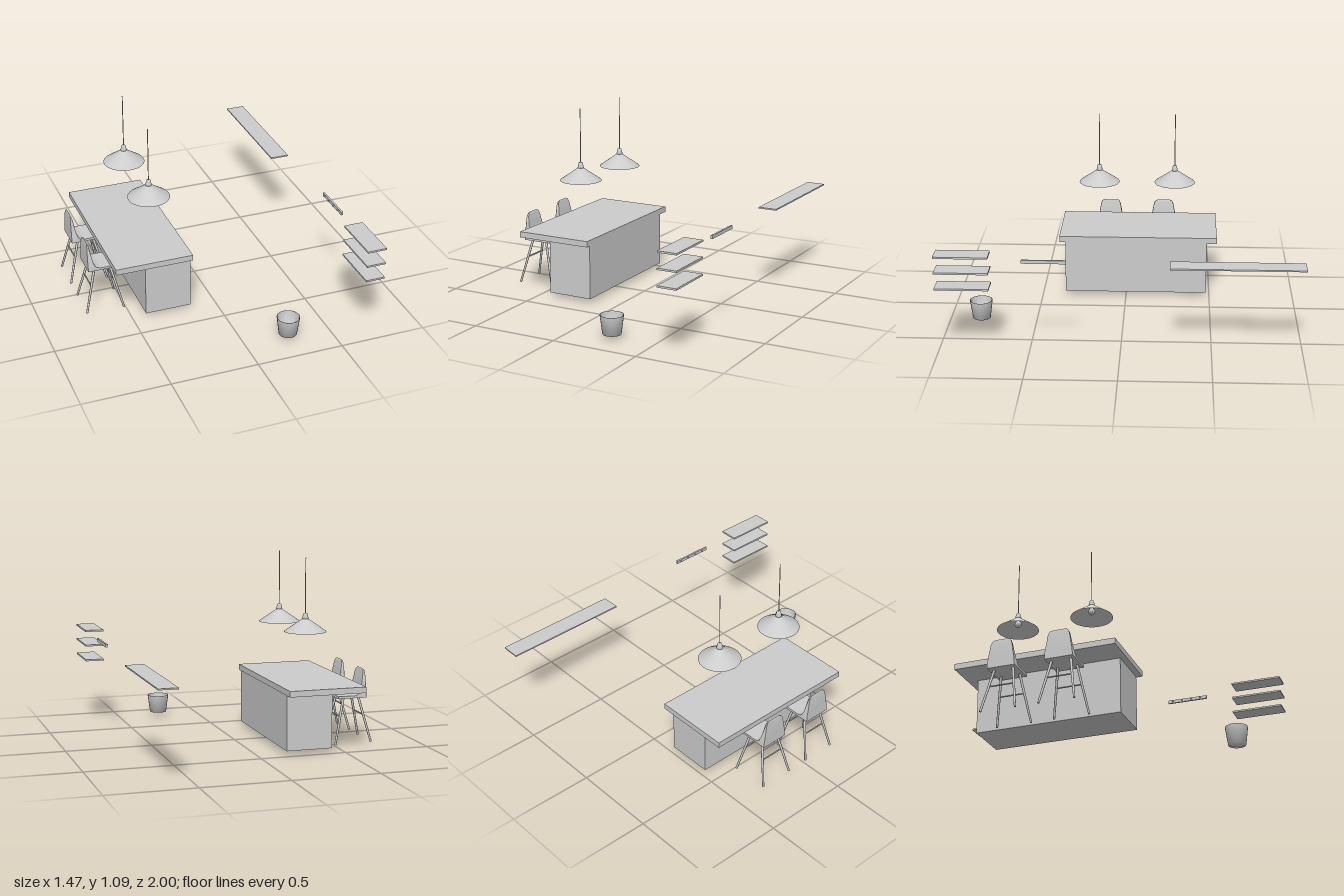
import * as THREE from 'three';

const mat = new THREE.MeshStandardMaterial({ color: 0xcccccc });
const flat = new THREE.MeshStandardMaterial({ color: 0xcccccc, flatShading: true });
const open = new THREE.MeshStandardMaterial({ color: 0xcccccc, side: THREE.DoubleSide });

function add(parent, name, geometry, material = mat) {
  const mesh = new THREE.Mesh(geometry, material);
  mesh.name = name;
  parent.add(mesh);
  return mesh;
}

// box given by its lower and upper corners
function box(parent, name, [x0, y0, z0], [x1, y1, z1]) {
  const m = add(parent, name, new THREE.BoxGeometry(x1 - x0, y1 - y0, z1 - z0));
  m.position.set((x0 + x1) / 2, (y0 + y1) / 2, (z0 + z1) / 2);
  return m;
}

// round bar between two points
function bar(parent, name, a, b, r0, r1 = r0) {
  const p = new THREE.Vector3(...a), q = new THREE.Vector3(...b);
  const d = q.clone().sub(p);
  const m = add(parent, name, new THREE.CylinderGeometry(r1, r0, d.length(), 10));
  m.position.copy(p).add(q).multiplyScalar(0.5);
  m.quaternion.setFromUnitVectors(new THREE.Vector3(0, 1, 0), d.normalize());
  return m;
}

function lathe(parent, name, pts, segments = 32) {
  return add(parent, name, new THREE.LatheGeometry(pts.map(p => new THREE.Vector2(...p)), segments), open);
}

function makeStool() {
  const g = new THREE.Group();
  g.name = 'stool';

  // seat and back: one side profile, narrowed towards the rounded top
  const profile = [
    [-0.706, 0.27], [-0.533, 0.27], [-0.533, 0.284], [-0.635, 0.284], [-0.655, 0.29], [-0.667, 0.302],
    [-0.675, 0.322], [-0.681, 0.35], [-0.686, 0.385], [-0.69, 0.405], [-0.693, 0.42], [-0.695, 0.428],
    [-0.699, 0.434], [-0.702, 0.428], [-0.703, 0.42], [-0.704, 0.405], [-0.705, 0.385], [-0.706, 0.35],
    [-0.706, 0.31]
  ];
  const half = y => {
    if (y < 0.3) return 0.08;
    if (y < 0.385) return 0.08 - 0.016 * (y - 0.3) / 0.085;
    const t = Math.min(1, (y - 0.385) / 0.049);
    return 0.036 + 0.028 * Math.sqrt(Math.max(0, 1 - t * t));
  };
  const seat = new THREE.ExtrudeGeometry(
    new THREE.Shape(profile.map(p => new THREE.Vector2(...p))), { depth: 2, bevelEnabled: false });
  seat.translate(0, 0, -1);
  const pos = seat.attributes.position;
  for (let i = 0; i < pos.count; i++) pos.setZ(i, pos.getZ(i) * half(pos.getY(i)));
  seat.computeVertexNormals();
  add(g, 'seat', seat, flat);

  // splayed legs, each pair joined by a crossbar
  const pairs = [
    [[-0.665, 0.272], [-0.729, 0.012]],
    [[-0.573, 0.272], [-0.509, 0.006]]
  ];
  for (const [top, foot] of pairs) {
    for (const s of [-1, 1]) {
      bar(g, 'leg', [foot[0], foot[1], s * 0.1], [top[0], top[1], s * 0.055], 0.006, 0.0075);
    }
    const t = 0.4;
    const x = top[0] + (foot[0] - top[0]) * t, y = top[1] + (foot[1] - top[1]) * t;
    bar(g, 'crossbar', [x, y, -0.073], [x, y, 0.073], 0.004);
  }
  return g;
}

function makeLamp() {
  const g = new THREE.Group();
  g.name = 'pendantLamp';
  lathe(g, 'shade', [[0.12, 0.67], [0.118, 0.674], [0.022, 0.74], [0.018, 0.744]]);
  lathe(g, 'cap', [[0, 0.738], [0.018, 0.738], [0.017, 0.752], [0.013, 0.766], [0.011, 0.775], [0, 0.777]], 20);
  bar(g, 'socket', [0, 0.718, 0], [0, 0.745, 0], 0.012);
  const bulb = add(g, 'bulb', new THREE.SphereGeometry(0.02, 20, 14));
  bulb.position.y = 0.708;
  bar(g, 'cord', [0, 0.77, 0], [0, 1.09, 0], 0.0025);
  return g;
}

export function createModel() {
  const model = new THREE.Group();
  model.name = 'kitchenSet';

  // island with a worktop overhanging the stools
  const island = new THREE.Group();
  island.name = 'island';
  box(island, 'worktop', [-0.605, 0.347, -0.54], [-0.152, 0.381, 0.397]);
  box(island, 'base', [-0.424, 0.031, -0.48], [-0.156, 0.347, 0.362]);
  model.add(island);

  for (const z of [-0.217, 0.115]) {
    const stool = makeStool();
    stool.position.z = z;
    model.add(stool);
  }

  for (const z of [-0.285, 0.164]) {
    const lamp = makeLamp();
    lamp.position.set(-0.331, 0, z);
    model.add(lamp);
  }

  // wall shelves
  box(model, 'longShelf', [0.603, 0.52, -1], [0.712, 0.528, -0.268]);
  for (const y of [0.392, 0.484, 0.574]) box(model, 'shelf', [0.622, y, 0.705], [0.733, y + 0.01, 1]);

  // rail with pegs
  const rail = new THREE.Group();
  rail.name = 'hookRail';
  box(rail, 'rail', [0.689, 0.541, 0.287], [0.7, 0.56, 0.53]);
  for (let i = 0; i < 4; i++) {
    const z = 0.315 + i * 0.058;
    bar(rail, 'peg', [0.691, 0.55, z], [0.68, 0.553, z], 0.003, 0.004);
  }
  model.add(rail);

  // open bin with crumpled paper
  const bin = new THREE.Group();
  bin.name = 'wasteBin';
  lathe(bin, 'binWall', [[0, 0.03], [0.051, 0.03], [0.065, 0.137], [0.061, 0.137], [0.048, 0.034], [0, 0.034]], 24);
  for (const [x, y, z] of [[-0.01, 0.05, -0.008], [0.022, 0.05, 0.006], [-0.004, 0.05, 0.028], [0.006, 0.068, 0.01]]) {
    const paper = add(bin, 'paperBall', new THREE.IcosahedronGeometry(0.016, 1), flat);
    paper.position.set(x, y, z);
    paper.rotation.set(x * 40, y * 20, z * 30);
  }
  bin.position.set(0.253, 0, 0.816);
  model.add(bin);

  return model;
}
